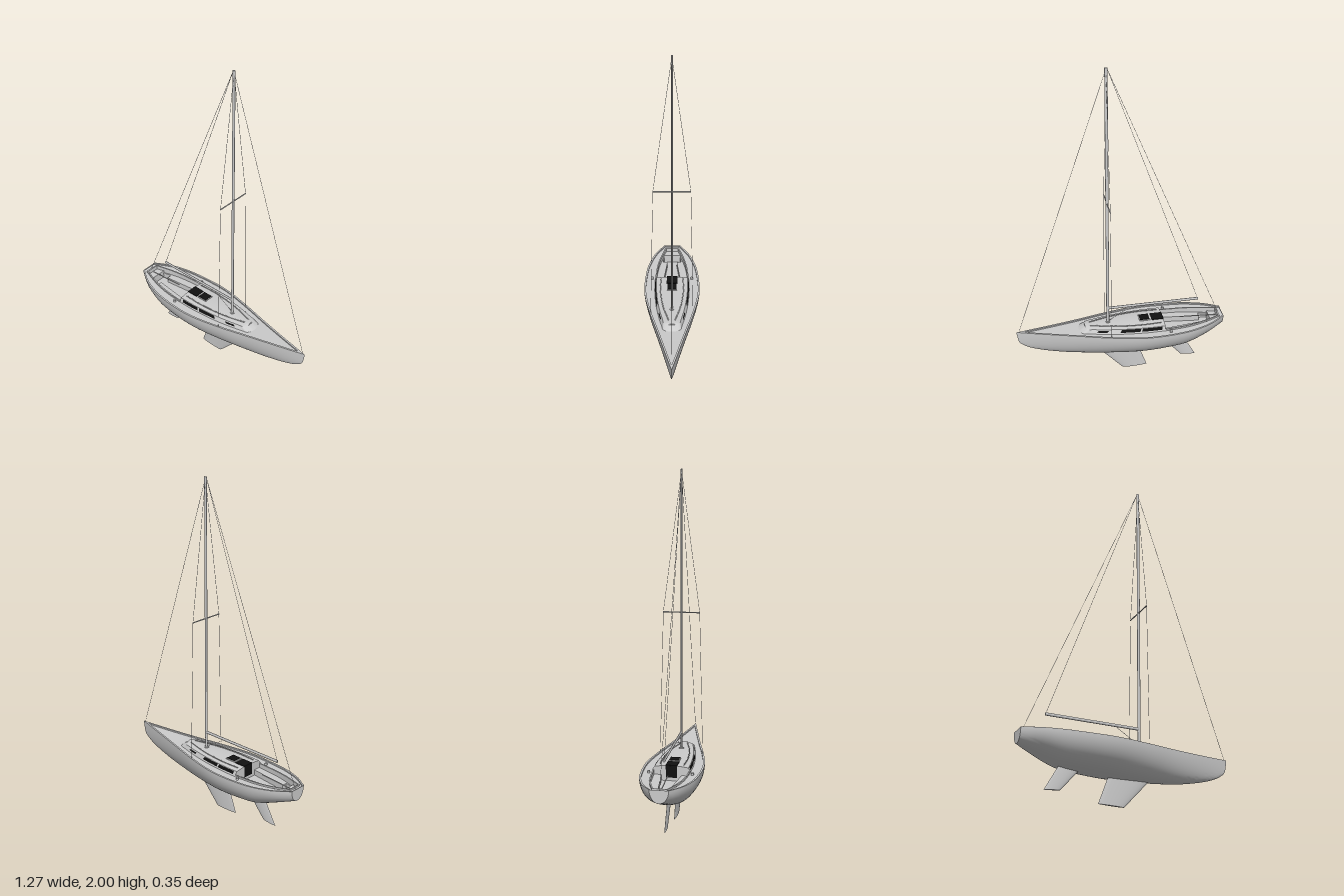
import * as THREE from 'three';
import { toCreasedNormals } from 'three/addons/utils/BufferGeometryUtils.js';

const grey = new THREE.MeshStandardMaterial({ color: 0xcccccc, side: THREE.DoubleSide });
const dark = new THREE.MeshStandardMaterial({ color: 0x111111, side: THREE.DoubleSide });

// smooth function through a few [x, value] points
function spline(p) {
  const slope = i => {
    const a = p[Math.max(i - 1, 0)], b = p[Math.min(i + 1, p.length - 1)];
    return (b[1] - a[1]) / (b[0] - a[0]);
  };
  return x => {
    let i = 0;
    while (i < p.length - 2 && x > p[i + 1][0]) i++;
    const h = p[i + 1][0] - p[i][0], t = THREE.MathUtils.clamp((x - p[i][0]) / h, 0, 1);
    const t2 = t * t, t3 = t2 * t;
    return p[i][1] * (2 * t3 - 3 * t2 + 1) + p[i + 1][1] * (3 * t2 - 2 * t3)
      + h * (slope(i) * (t3 - 2 * t2 + t) + slope(i + 1) * (t3 - t2));
  };
}

// hull lines
const BOW = 0.632, STERN = -0.635, COCKPIT = -0.612, BULKHEAD = -0.26;
const keelLine = spline([[STERN, 0.27], [-0.55, 0.236], [-0.4, 0.178], [-0.3, 0.164], [-0.1, 0.153], [0.1, 0.156],
  [0.3, 0.172], [0.45, 0.2], [0.55, 0.232], [0.6, 0.262], [0.622, 0.29], [BOW, 0.345]]);
const beam = spline([[STERN, 0.053], [-0.55, 0.108], [-0.47, 0.139], [-0.38, 0.16], [-0.2, 0.173], [-0.08, 0.165],
  [0.1, 0.129], [0.25, 0.091], [0.4, 0.055], [0.55, 0.02], [BOW, 0]]);
const coaming = spline([[COCKPIT, 0.043], [-0.5, 0.078], [-0.4, 0.097], [BULKHEAD, 0.108]]);
const sheer = x => 0.329 + (x < -0.25 ? 0.108 : 0.034) * (x + 0.25) ** 2;
const deckY = x => sheer(x) - 0.008;

// surface through rows of [x, y, z] points
function loft(rows, crease = 0.6) {
  const n = rows[0].length, index = [];
  for (let i = 0; i < rows.length - 1; i++) {
    for (let j = 0; j < n - 1; j++) {
      const a = i * n + j, b = a + n;
      index.push(a, b, a + 1, b, b + 1, a + 1);
    }
  }
  const g = new THREE.BufferGeometry();
  g.setAttribute('position', new THREE.Float32BufferAttribute(rows.flat(2), 3));
  g.setIndex(index);
  return toCreasedNormals(g, crease);
}
const range = (a, b, n) => Array.from({ length: n + 1 }, (_, i) => a + (b - a) * i / n);
const mirrorRow = half => [...half, ...half.slice().reverse().map(([x, y, z]) => [x, y, -z])];

export function createModel() {
  const boat = new THREE.Group();
  boat.name = 'sailboat';
  const add = (name, geometry, material = grey) => {
    const m = new THREE.Mesh(geometry, material);
    m.name = name;
    boat.add(m);
    return m;
  };
  const box = (name, w, h, d, x, y, z, material) =>
    add(name, new THREE.BoxGeometry(w, h, d), material).position.set(x, y, z);
  const rod = (name, a, b, r, flat = 1, sides = 12) => {
    const p = new THREE.Vector3(...a), q = new THREE.Vector3(...b), d = q.clone().sub(p);
    const m = add(name, new THREE.CylinderGeometry(r, r, d.length(), sides));
    m.position.copy(p).add(q).multiplyScalar(0.5);
    m.quaternion.setFromUnitVectors(new THREE.Vector3(0, 1, 0), d.normalize());
    m.scale.z = flat;
    return m;
  };

  // hull shell, stations crowding towards the bow
  const section = x => range(-Math.PI / 2, Math.PI / 2, 32).map(a => [x,
    sheer(x) - (sheer(x) - keelLine(x)) * Math.max(Math.cos(a), 0),
    Math.sign(a) * beam(x) * Math.abs(Math.sin(a)) ** 0.92]);
  add('hull', loft(range(0, 1, 60).map(u =>
    section(STERN + (BOW - STERN) * (1 - (1 - u) ** 1.7))), 0.5));
  const aft = section(STERN);
  add('transom', loft([aft, aft.map(p => [p[0], sheer(STERN), 0])]));

  // deck and toe rail, open over the cockpit
  for (const s of [1, -1]) {
    const row = (x, open) => {
      const w = beam(x), i = Math.max(w - 0.011, 0);
      return [[x, sheer(x), s * w], [x, sheer(x), s * i], [x, deckY(x), s * i],
        [x, deckY(x), open ? s * coaming(x) : 0]];
    };
    add('deck', loft([
      ...range(STERN, COCKPIT, 2).map(x => row(x, false)),
      ...range(COCKPIT, BULKHEAD, 16).map(x => row(x, true)),
      ...range(BULKHEAD, BOW, 40).map(x => row(x, false))]));
  }

  // cockpit: coaming, seats and sunken well
  const SEAT = 0.304, FLOOR = 0.27;
  const rim = x => sheer(x) + 0.002;
  const cockpitRow = (x, well, floor, seat = SEAT, top = rim(x)) => {
    const c = coaming(x);
    return mirrorRow([[x, deckY(x), c], [x, top, c], [x, top, c - 0.008], [x, seat, c - 0.008],
      [x, seat, well], [x, floor, well]]);
  };
  const r0 = rim(COCKPIT), d0 = deckY(COCKPIT);
  add('cockpit', loft([
    cockpitRow(COCKPIT, 0.03, d0, d0, d0),
    cockpitRow(COCKPIT, 0.03, r0, r0),
    cockpitRow(-0.604, 0.03, r0 - 0.001, r0 - 0.001),
    cockpitRow(-0.603, 0.03, 0.318, 0.318),
    cockpitRow(-0.556, 0.05, 0.318, 0.318),
    cockpitRow(-0.555, 0.05, FLOOR),
    cockpitRow(-0.501, 0.06, FLOOR),
    ...range(-0.5, BULKHEAD, 12).map(x => cockpitRow(x, 0.03 + (x + 0.5) * 0.117, FLOOR))], 0.3));
  rod('tiller', [-0.6, 0.322, 0], [-0.37, 0.336, 0], 0.003);

  // cabin: base outline, inset top outline, cambered roof
  const side = spline([[BULKHEAD, 0.108], [-0.15, 0.108], [0, 0.097], [0.12, 0.079], [0.22, 0.058]]);
  const outline = x => x < 0.22 ? side(x) : 0.058 * Math.sqrt(Math.max(0, 1 - ((x - 0.22) / 0.04) ** 2.6));
  const EDGE = 0.351, ROOF = 0.359;
  const wall = (x, v, out = 0) => {
    const z = outline(x);
    return [THREE.MathUtils.lerp(x, BULKHEAD + (x - BULKHEAD) * 0.925, v),
      THREE.MathUtils.lerp(deckY(x) - 0.002, EDGE, v) + out * 0.5, z * (1 - 0.1 * v) + out];
  };
  const cabinXs = [...range(BULKHEAD, 0.22, 24), ...range(0, 1, 14).slice(1).map(u => 0.22 + 0.04 * Math.sin(u * Math.PI / 2))];
  add('cabin', loft(cabinXs.map(x => {
    const t = wall(x, 1);
    return mirrorRow([wall(x, 0), t, [t[0], ROOF - 0.002, t[2] * 0.5], [t[0], ROOF, 0]]);
  }), 0.4));
  add('cabinBulkhead', loft([
    range(-1, 1, 8).map(u => [BULKHEAD, FLOOR, 0.108 * u]),
    range(-1, 1, 8).map(u => [BULKHEAD, 0.335, 0.108 * u]),
    range(-1, 1, 8).map(u => [BULKHEAD, ROOF - 0.008 * u * u, 0.097 * u])]));

  // cabin windows, both sides
  for (const s of [1, -1]) {
    for (const [a, b, lo, hi] of [[-0.238, -0.11, 0.35, 0.92], [-0.1, 0.025, 0.35, 0.92], [0.105, 0.17, 0.4, 0.75]]) {
      const rows = range(a, b, 8).map(x => [lo, hi].map(v => {
        const p = wall(x, v, 0.0015);
        return [p[0], p[1], s * p[2]];
      }));
      add('cabinWindow', loft(rows), dark);
    }
    // handrail and winch
    const rail = new THREE.CatmullRomCurve3([[-0.24, 0.068], [-0.12, 0.071], [0.04, 0.055], [0.19, 0.018]]
      .map(([x, z]) => new THREE.Vector3(x, ROOF, s * z)));
    add('handrail', new THREE.TubeGeometry(rail, 24, 0.003, 6));
    rod('winch', [-0.29, 0.318, s * 0.125], [-0.29, 0.334, s * 0.125], 0.008, 1, 16);
  }

  // companionway and hatch
  box('companionwayDoor', 0.003, 0.07, 0.064, BULKHEAD - 0.001, 0.324, 0, dark);
  box('companionwayOpening', 0.072, 0.004, 0.066, -0.225, ROOF + 0.001, 0, dark);
  box('hatchFrame', 0.066, 0.006, 0.062, -0.147, ROOF + 0.001, 0);
  box('hatchGlass', 0.058, 0.003, 0.054, -0.147, ROOF + 0.005, 0, dark);

  // keel fin and rudder: lens sections swept from root to tip
  const fin = (name, rootLead, rootTrail, tipLead, tipTrail, thick) => {
    const ring = (lead, trail, t) => range(0, Math.PI * 2, 28).map(a => {
      const u = (1 - Math.cos(a)) / 2;
      return [THREE.MathUtils.lerp(lead[0], trail[0], u), THREE.MathUtils.lerp(lead[1], trail[1], u),
        t * Math.sin(a) * (1 - 0.35 * u)];
    });
    add(name, loft([ring(rootLead, rootTrail, thick), ring(tipLead, tipTrail, thick * 0.85), ring(tipLead, tipTrail, 0)]));
  };
  fin('keelFin', [0.15, 0.18], [-0.103, 0.18], [-0.015, 0], [-0.167, 0.003], 0.01);
  fin('rudder', [-0.263, 0.19], [-0.393, 0.19], [-0.385, 0.049], [-0.477, 0.041], 0.008);

  // spars
  const MAST = 0.077, TOP = 2;
  rod('mast', [MAST, 0.335, 0], [MAST, TOP, 0], 0.009, 0.6, 20);
  rod('mastStep', [MAST, ROOF - 0.006, 0], [MAST, ROOF + 0.004, 0], 0.014);
  rod('boom', [-0.482, 0.459, 0], [MAST, 0.459, 0], 0.009, 0.6, 16);
  rod('spreader', [MAST, 1.18, -0.108], [MAST, 1.18, 0.108], 0.0035);

  // standing and running rigging
  const wire = (name, a, b) => rod(name, a, b, 0.0011, 1, 6);
  wire('forestay', [0.62, 0.35, 0], [MAST, TOP - 0.005, 0]);
  wire('backstay', [-0.615, 0.335, 0], [MAST - 0.006, TOP - 0.005, 0]);
  wire('toppingLift', [-0.48, 0.46, 0], [MAST - 0.006, TOP - 0.005, 0]);
  wire('boomVang', [-0.07, 0.455, 0], [MAST - 0.008, 0.368, 0]);
  for (const s of [1, -1]) {
    wire('lowerShroud', [MAST, 0.325, s * 0.128], [MAST, 1.18, s * 0.107]);
    wire('upperShroud', [MAST, 1.18, s * 0.107], [MAST, TOP - 0.005, 0]);
  }
  return boat;
}
